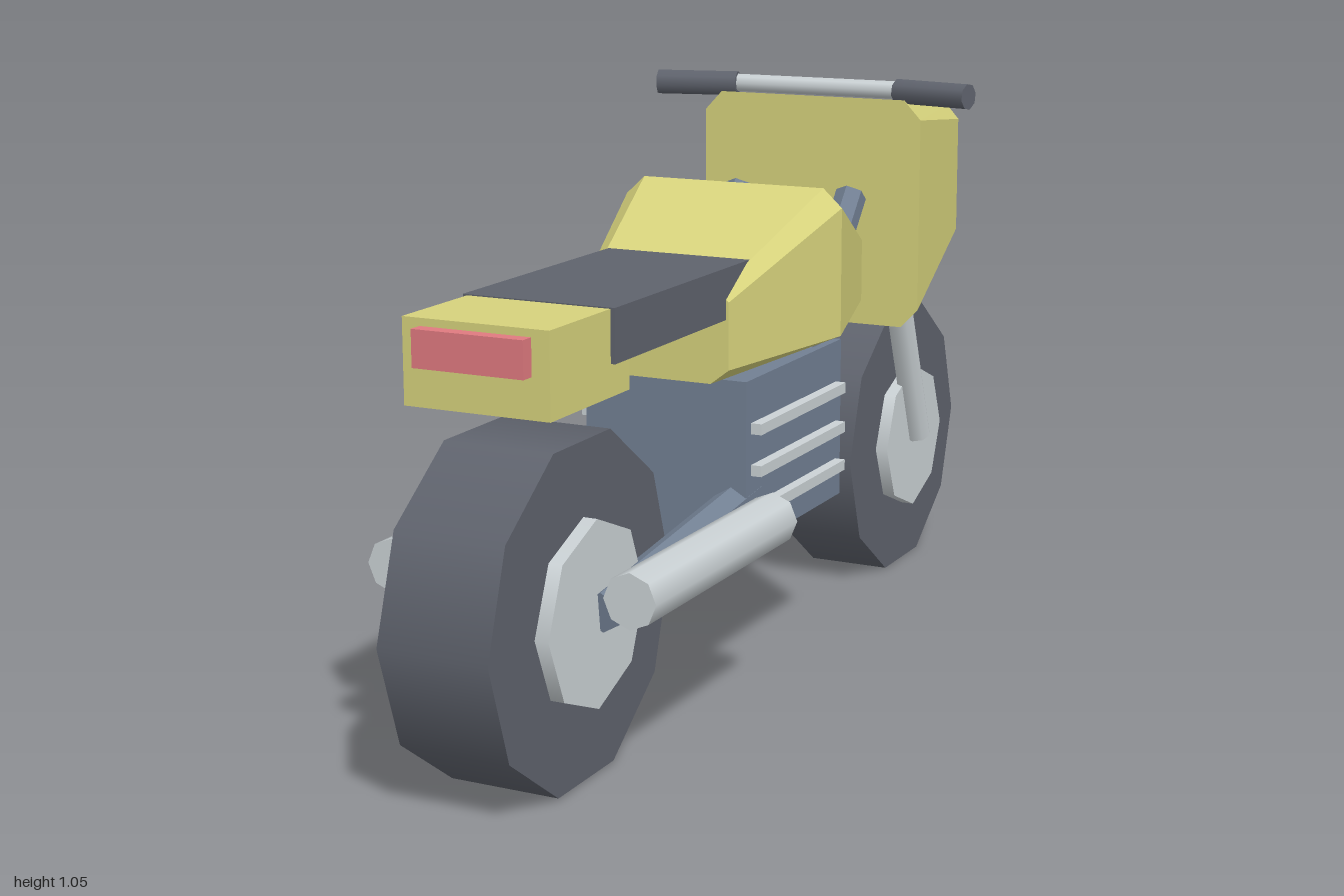
import * as THREE from 'three';

const mat = (color) => new THREE.MeshStandardMaterial({ color });
const flat = (color) => new THREE.MeshStandardMaterial({ color, flatShading: true });
const YELLOW = flat(0xd6d27c), DARK = mat(0x5f636d), BLUE = flat(0x728093);
const CHROME = mat(0xcbd2d5), RED = flat(0xe07a80), LAMP = flat(0xd6d3c2);

export function createModel() {
  const bike = new THREE.Group();
  bike.name = 'motorcycle';

  const add = (name, geometry, material) => {
    const mesh = new THREE.Mesh(geometry, material);
    mesh.name = name;
    bike.add(mesh);
    return mesh;
  };

  // Box given by its extents along each axis
  const box = (name, material, [x0, x1], [y0, y1], [z0, z1]) =>
    add(name, new THREE.BoxGeometry(x1 - x0, y1 - y0, z1 - z0), material)
      .position.set((x0 + x1) / 2, (y0 + y1) / 2, (z0 + z1) / 2);

  // Straight round bar between two points
  const bar = (name, material, from, to, radius, sides) => {
    const a = new THREE.Vector3(...from), b = new THREE.Vector3(...to);
    const dir = b.clone().sub(a);
    const mesh = add(name, new THREE.CylinderGeometry(radius, radius, dir.length(), sides), material);
    mesh.position.copy(a).add(b).multiplyScalar(0.5);
    mesh.quaternion.setFromUnitVectors(new THREE.Vector3(0, 1, 0), dir.normalize());
  };

  // Chamfered body lofted through sections that run from +z to -z
  const loft = (name, material, sections) => {
    const rings = sections.map(({ z, top, side, bottom }) => {
      const right = [[bottom[0], bottom[1]], [side[0], side[1]], [side[0], side[2]], [top[0], top[1]]];
      const left = right.map(([x, y]) => [-x, y]).reverse();
      return [...right, ...left].map(([x, y]) => [x, y, z]);
    });
    const n = 8, last = (rings.length - 1) * n, index = [];
    for (let s = 0; s < last; s += n) {
      for (let i = 0; i < n; i++) {
        const j = (i + 1) % n;
        index.push(s + i, s + n + i, s + n + j, s + i, s + n + j, s + j);
      }
    }
    for (let i = 1; i < n - 1; i++) index.push(0, i, i + 1, last, last + i + 1, last + i);
    const geometry = new THREE.BufferGeometry();
    geometry.setAttribute('position', new THREE.Float32BufferAttribute(rings.flat(2), 3));
    geometry.setIndex(index);
    const faceted = geometry.toNonIndexed();
    faceted.computeVertexNormals();
    add(name, faceted, material);
  };

  // Wheels, each with a hub disc on the left side
  const wheel = (name, y, z, radius, half, hubRadius, hubX) => {
    bar(name + 'Tire', DARK, [-half, y, z], [half, y, z], radius, 10);
    bar(name + 'Hub', CHROME, [half - 0.02, y, z], [hubX, y, z], hubRadius, 8);
  };
  wheel('rear', 0.29, 0.7, 0.3, 0.1, 0.16, 0.125);
  wheel('front', 0.272, -0.715, 0.285, 0.083, 0.15, 0.108);

  // Engine block
  box('engine', BLUE, [-0.16, 0.16], [0.278, 0.58], [-0.197, 0.22]);

  // Fuel tank and front fairing
  loft('fuelTank', YELLOW, [
    { z: 0.26, top: [0.125, 0.745], side: [0.145, 0.607, 0.727], bottom: [0.11, 0.58] },
    { z: -0.055, top: [0.183, 0.887], side: [0.22, 0.617, 0.853], bottom: [0.145, 0.592] },
    { z: -0.365, top: [0.112, 0.762], side: [0.13, 0.624, 0.742], bottom: [0.11, 0.612] },
  ]);
  loft('fairing', YELLOW, [
    { z: -0.41, top: [0.195, 1.012], side: [0.23, 0.603, 0.975], bottom: [0.195, 0.567] },
    { z: -0.735, top: [0.16, 0.97], side: [0.185, 0.715, 0.942], bottom: [0.16, 0.692] },
  ]);
  box('headlight', LAMP, [-0.13, 0.13], [0.78, 0.92], [-0.765, -0.73]);

  // Seat, tail and rear light
  box('seat', DARK, [-0.14, 0.14], [0.696, 0.787], [0.1, 0.662]);
  box('tail', YELLOW, [-0.132, 0.132], [0.642, 0.785], [0.6, 0.855]);
  box('tailLight', RED, [-0.1, 0.1], [0.71, 0.772], [0.85, 0.88]);

  // Handlebar
  bar('handlebar', CHROME, [-0.2, 1.028, -0.437], [0.2, 1.028, -0.437], 0.017, 8);

  // Parts mirrored on both sides
  for (const s of [-1, 1]) {
    bar('handGrip', DARK, [s * 0.172, 1.026, -0.437], [s * 0.33, 1.026, -0.401], 0.025, 8);
    bar('forkLeg', CHROME, [s * 0.115, 0.72, -0.543], [s * 0.115, 0.275, -0.715], 0.028, 8);
    bar('frameTube', BLUE, [s * 0.118, 0.29, 0.13], [s * 0.118, 0.835, -0.337], 0.03, 6);
    bar('swingArm', BLUE, [s * 0.13, 0.36, 0.15], [s * 0.13, 0.293, 0.697], 0.035, 6);
    bar('exhaustPipe', CHROME, [s * 0.22, 0.345, 0.237], [s * 0.22, 0.345, 0.77], 0.047, 8);
    // Cooling fins
    for (const y of [0.342, 0.416, 0.492]) {
      box('coolingFin', CHROME, [s * 0.165 - 0.015, s * 0.165 + 0.015], [y - 0.01, y + 0.01], [-0.175, 0.2]);
    }
  }
  return bike;
}
